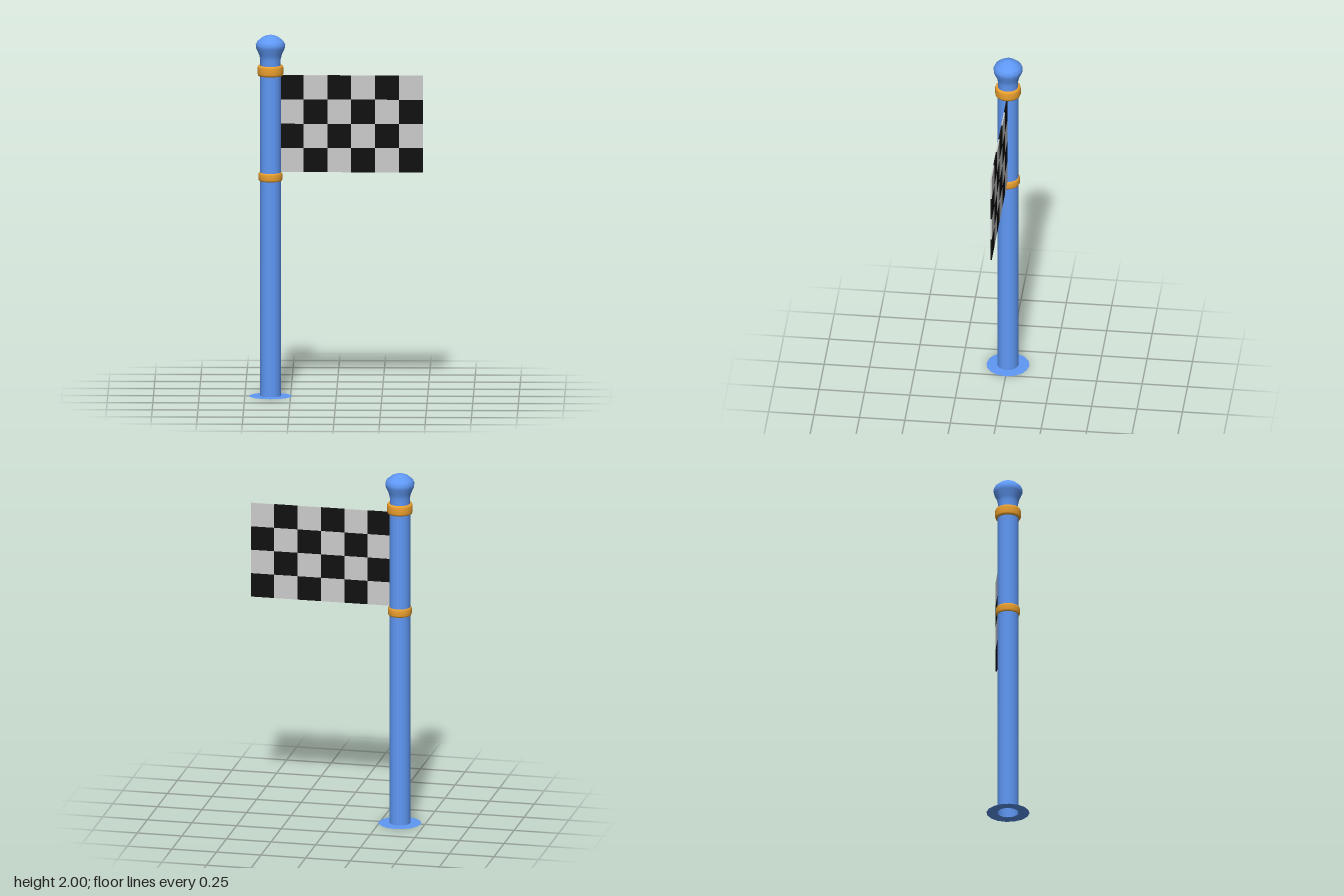
import * as THREE from 'three';

const POLE_X = -0.36;
const SIDES = 16;

function lathe(name, points, material) {
  const profile = points.map(([r, y]) => new THREE.Vector2(r, y));
  const mesh = new THREE.Mesh(new THREE.LatheGeometry(profile, SIDES), material);
  mesh.name = name;
  mesh.position.x = POLE_X;
  return mesh;
}

export function createModel() {
  const model = new THREE.Group();
  model.name = 'flagPole';

  const paint = (color, side = THREE.FrontSide) => new THREE.MeshStandardMaterial({ color, side });
  const blue = paint(0x5f98f5, THREE.DoubleSide);
  const orange = paint(0xeba02f);
  const white = paint(0xcccccc);
  const black = paint(0x111111);

  // Flat foot ring, open shaft and knob
  model.add(lathe('baseRing', [[0.118, 0], [0.058, 0.002]], blue));
  model.add(lathe('pole', [[0.058, 0], [0.058, 1.83]], blue));
  model.add(lathe('knob', [
    [0.056, 1.82], [0.056, 1.865], [0.062, 1.89], [0.078, 1.925], [0.081, 1.945],
    [0.072, 1.965], [0.045, 1.987], [0.02, 1.997], [0, 2],
  ], blue));

  // Rounded bands that hold the flag
  for (const [name, y, height, radius] of [['upperBand', 1.802, 0.056, 0.071], ['lowerBand', 1.215, 0.046, 0.066]]) {
    const h = height / 2;
    model.add(lathe(name, [
      [0.055, y - h], [radius - 0.004, y - h], [radius, y - h * 0.6],
      [radius, y + h * 0.6], [radius - 0.004, y + h], [0.055, y + h],
    ], orange));
  }

  // Chequered flag: 6 by 4 thin panels
  const flag = new THREE.Group();
  flag.name = 'flag';
  const w = 0.131, h = 0.134;
  const panel = new THREE.BoxGeometry(w, h, 0.007);
  for (let row = 0; row < 4; row++) {
    for (let col = 0; col < 6; col++) {
      const cell = new THREE.Mesh(panel, (row + col) % 2 ? white : black);
      cell.name = 'flagPanel';
      cell.position.set(-0.311 + (col + 0.5) * w, 1.776 - (row + 0.5) * h, 0);
      flag.add(cell);
    }
  }
  model.add(flag);

  return model;
}
